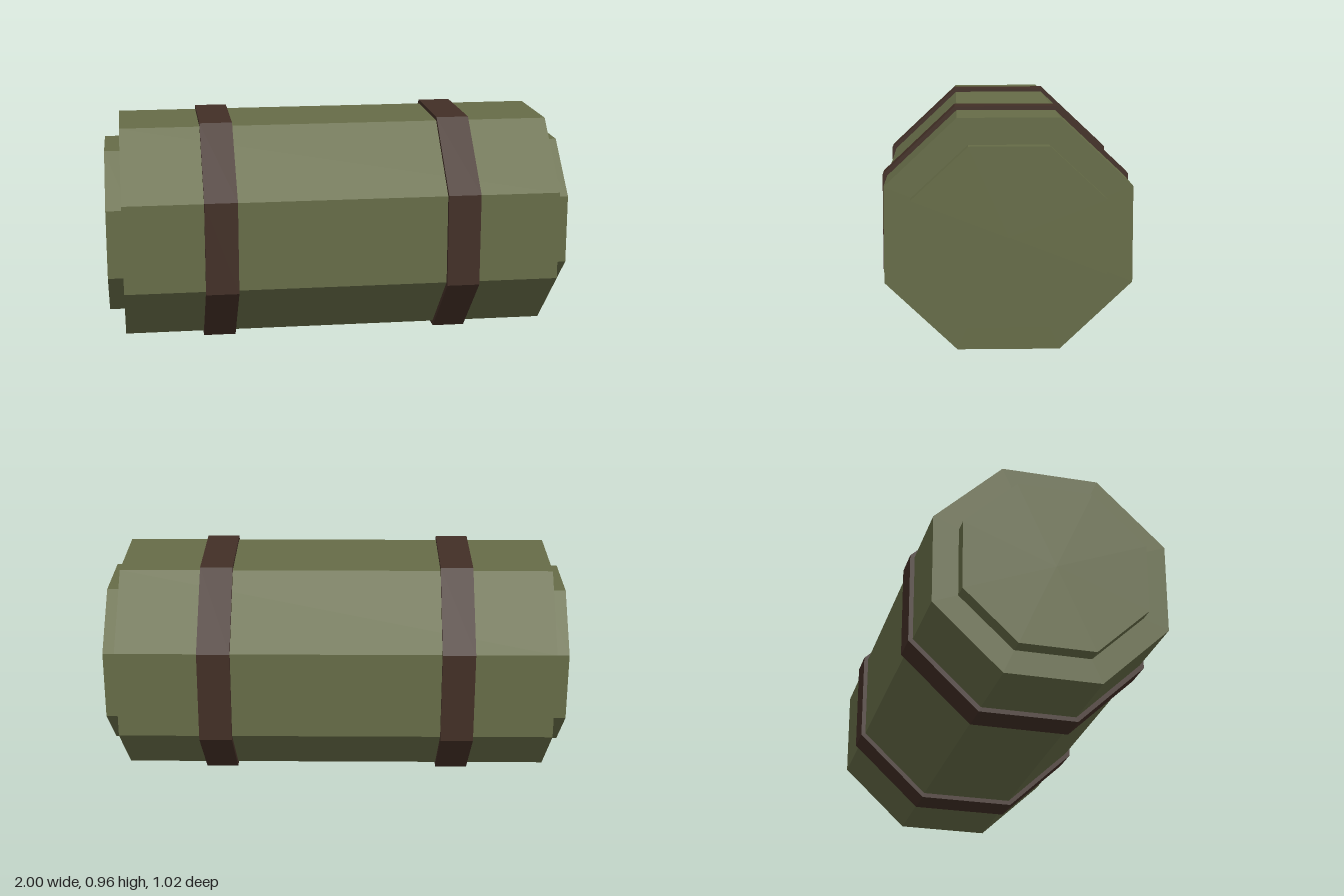
import * as THREE from 'three';

const CENTRE_Y = 0.48;

// Eight-sided prism lying along x; halfY and halfZ reach to its flat faces
function octagonBar(name, length, halfY, halfZ, x, material, y = CENTRE_Y) {
  const geometry = new THREE.CylinderGeometry(1, 1, length, 8, 1, false, Math.PI / 8);
  const toCorner = 1 / Math.cos(Math.PI / 8);
  geometry.rotateZ(Math.PI / 2);
  geometry.scale(1, halfY * toCorner, halfZ * toCorner);
  const mesh = new THREE.Mesh(geometry, material);
  mesh.name = name;
  mesh.position.set(x, y, 0);
  return mesh;
}

export function createModel() {
  const group = new THREE.Group();
  group.name = 'bedroll';

  const cloth = new THREE.MeshStandardMaterial({ name: 'olive cloth', color: 0x666c47, flatShading: true });
  const leather = new THREE.MeshStandardMaterial({ name: 'dark leather', color: 0x422f26, flatShading: true });

  // Rolled cloth
  group.add(octagonBar('roll', 1.866, 0.462, 0.491, 0, cloth, 0.482));

  // Raised inner roll at both ends
  for (const side of [-1, 1]) {
    const name = side > 0 ? 'leftRollEnd' : 'rightRollEnd';
    group.add(octagonBar(name, 0.1, 0.358, 0.385, side * 0.95, cloth));
  }

  // Straps around the roll
  group.add(octagonBar('rightStrap', 0.14, 0.48, 0.51, -0.52, leather));
  group.add(octagonBar('leftStrap', 0.14, 0.48, 0.51, 0.515, leather));

  return group;
}
